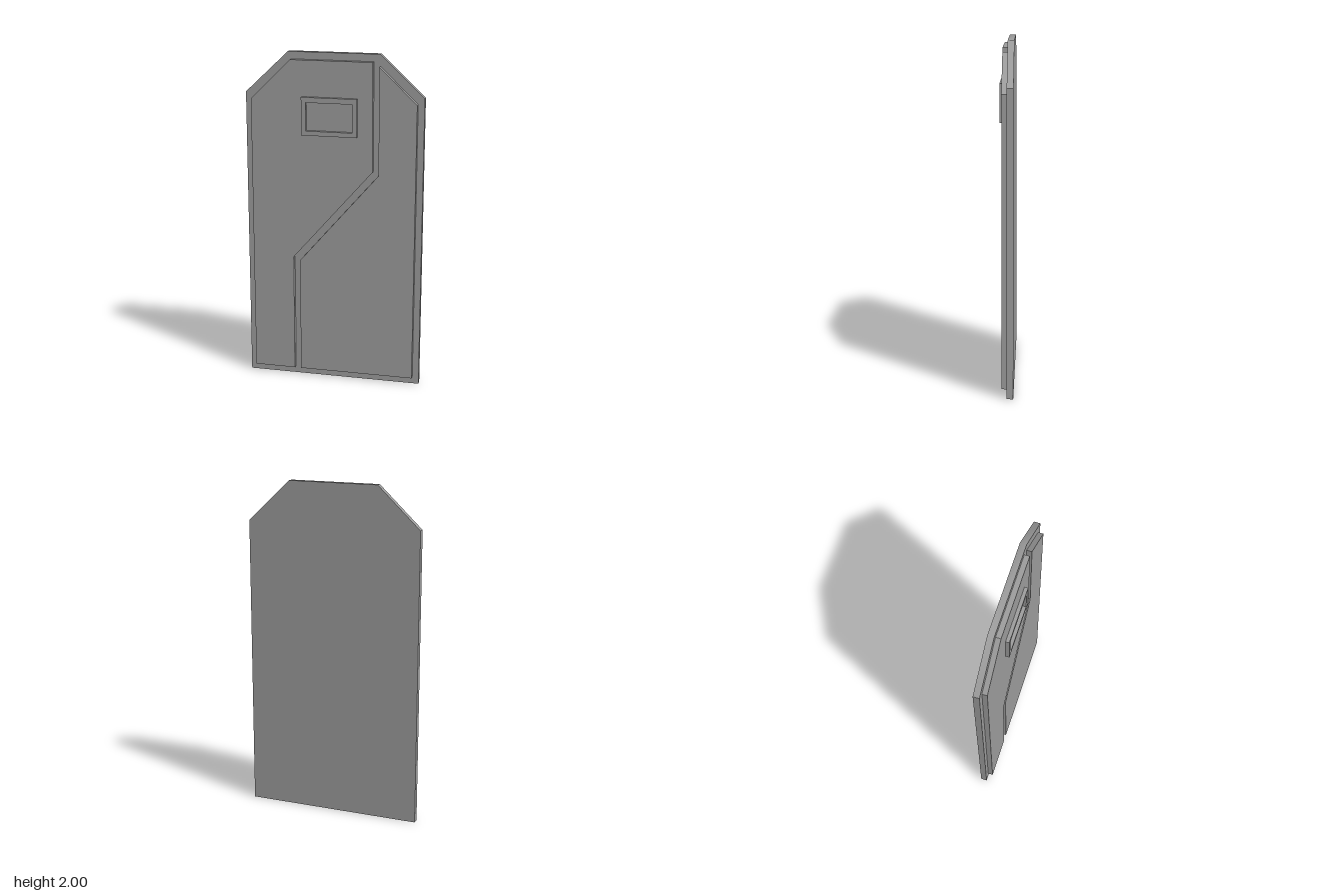
import * as THREE from 'three';
import { toCreasedNormals } from 'three/addons/utils/BufferGeometryUtils.js';

const material = new THREE.MeshStandardMaterial({ color: 0x9c9c9c });

// Flat plate cut from an outline, spanning z0 to z1, with an optional opening
function plate(name, outline, z0, z1, opening) {
  const toPoints = (list) => list.map(([x, y]) => new THREE.Vector2(x, y));
  const shape = new THREE.Shape(toPoints(outline));
  if (opening) shape.holes.push(new THREE.Path(toPoints(opening)));
  const geometry = new THREE.ExtrudeGeometry(shape, { depth: z1 - z0, bevelEnabled: false });
  geometry.translate(0, 0, z0);
  const mesh = new THREE.Mesh(geometry, material);
  mesh.name = name;
  return mesh;
}

const rect = (x0, y0, x1, y1) => [[x0, y0], [x1, y0], [x1, y1], [x0, y1]];

export function createModel() {
  const door = new THREE.Group();
  door.name = 'door';

  // Backing slab with clipped top corners; its rim is shaded smoothly over the top
  const backPanel = plate('backPanel', [
    [-0.528, 0], [0.528, 0], [0.528, 1.757], [0.27, 2], [-0.272, 2], [-0.528, 1.757],
  ], -0.044, -0.007);
  backPanel.geometry = toCreasedNormals(backPanel.geometry, Math.PI / 4);
  door.add(backPanel);

  // Two raised panels separated by a stepped diagonal groove
  door.add(plate('rightRaisedPanel', [
    [-0.49, 0.045], [-0.241, 0.045], [-0.241, 0.768], [0.236, 1.318],
    [0.232, 1.957], [-0.252, 1.957], [-0.49, 1.722],
  ], -0.007, 0.023));
  door.add(plate('leftRaisedPanel', [
    [-0.203, 0.045], [0.49, 0.045], [0.49, 1.722], [0.271, 1.932],
    [0.271, 1.298], [-0.2, 0.75],
  ], -0.007, 0.023));

  // Small frame around a recessed plaque
  door.add(plate('plaqueFrame', rect(-0.184, 1.522, 0.146, 1.746), 0.023, 0.044,
    rect(-0.157, 1.549, 0.117, 1.715)));

  return door;
}
